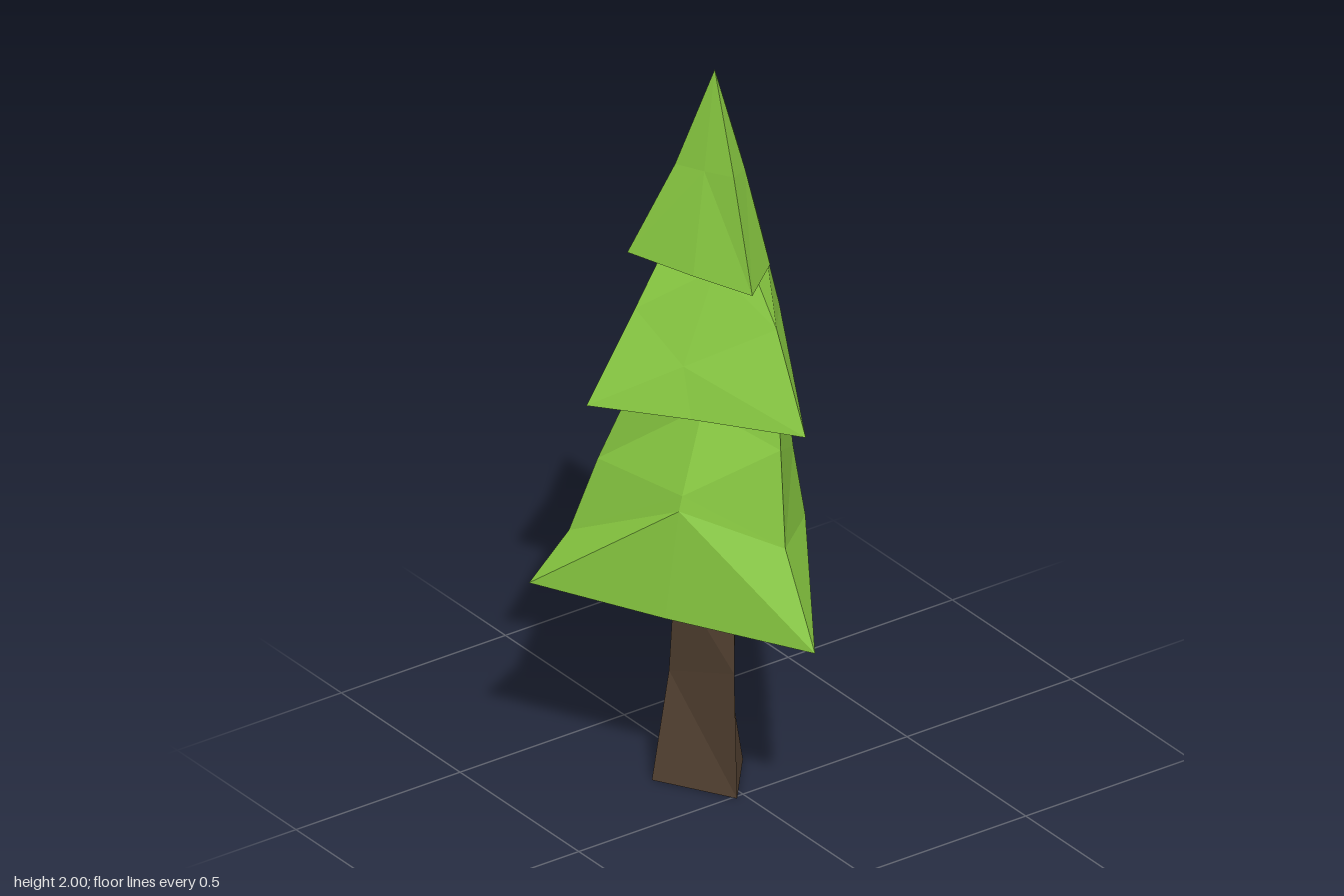
import * as THREE from 'three';

const foliage = new THREE.MeshStandardMaterial({ color: 0x8acc42, flatShading: true });
foliage.name = 'leaf green';
const bark = new THREE.MeshStandardMaterial({ color: 0x544232, flatShading: true });
bark.name = 'bark brown';

// Joins rings of [x, y, z] points (counterclockwise from above) and closes both ends.
function loft(name, material, rings, apex) {
  const pos = [];
  const tri = (a, b, c) => pos.push(...a, ...b, ...c);
  const centre = ring => [0, 1, 2].map(k => ring.reduce((s, p) => s + p[k], 0) / ring.length);
  const n = rings[0].length;
  const last = rings[rings.length - 1];
  const bottom = centre(rings[0]);
  const top = apex || centre(last);
  for (let i = 0; i < n; i++) {
    const j = (i + 1) % n;
    for (let r = 0; r < rings.length - 1; r++) {
      const lo = rings[r], hi = rings[r + 1];
      // Alternate the diagonals so facets meet at the corner ridges
      if (i % 2) {
        tri(lo[i], lo[j], hi[i]);
        tri(lo[j], hi[j], hi[i]);
      } else {
        tri(lo[i], lo[j], hi[j]);
        tri(lo[i], hi[j], hi[i]);
      }
    }
    tri(bottom, rings[0][j], rings[0][i]);
    tri(top, last[i], last[j]);
  }
  const geometry = new THREE.BufferGeometry();
  geometry.setAttribute('position', new THREE.Float32BufferAttribute(pos, 3));
  geometry.computeVertexNormals();
  const mesh = new THREE.Mesh(geometry, material);
  mesh.name = name;
  return mesh;
}

export function createModel() {
  const tree = new THREE.Group();
  tree.name = 'pineTree';

  // Four-sided crooked trunk
  tree.add(loft('trunk', bark, [
    [[0.01, 0, 0.025], [-0.145, 0, -0.105], [-0.215, 0, -0.055], [-0.19, 0, 0.14]],
    [[0.005, 0.35, 0.03], [-0.155, 0.3, -0.06], [-0.205, 0.34, -0.03], [-0.18, 0.3, 0.095]],
    [[-0.005, 0.58, 0.02], [-0.125, 0.58, -0.07], [-0.165, 0.58, -0.04], [-0.15, 0.58, 0.1]],
  ]));

  // Each tier: right corner, back mid, back corner, left mid, front corner, front mid
  tree.add(loft('lowerBranches', foliage, [
    [[0.352, 0.565, 0.035], [0.03, 0.565, -0.18], [-0.31, 0.565, -0.395],
      [-0.34, 0.565, -0.08], [-0.355, 0.565, 0.395], [-0.01, 0.565, 0.23]],
    [[0.22, 0.8, 0.03], [0.035, 0.75, -0.165], [-0.28, 0.71, -0.305],
      [-0.32, 0.8, -0.07], [-0.318, 0.7, 0.3], [0, 0.86, 0.195]],
    [[0.173, 1.05, 0.01], [0.025, 0.95, -0.135], [-0.26, 0.9, -0.235],
      [-0.31, 0.9, -0.03], [-0.28, 0.9, 0.24], [0, 0.9, 0.185]],
    [[0.155, 1.11, 0], [0.02, 1.11, -0.12], [-0.24, 1.11, -0.21],
      [-0.24, 1.11, 0], [-0.21, 1.11, 0.19], [-0.03, 1.11, 0.1]],
  ]));

  tree.add(loft('middleBranches', foliage, [
    [[0.23, 1.1, -0.025], [-0.03, 1.1, -0.15], [-0.29, 1.1, -0.25],
      [-0.278, 1.1, 0.03], [-0.22, 1.1, 0.318], [-0.01, 1.1, 0.15]],
    [[0.108, 1.35, -0.025], [-0.04, 1.32, -0.14], [-0.232, 1.35, -0.165],
      [-0.275, 1.35, 0.025], [-0.185, 1.35, 0.195], [-0.05, 1.23, 0.145]],
    [[0.035, 1.48, -0.01], [-0.04, 1.48, -0.1], [-0.19, 1.48, -0.125],
      [-0.21, 1.48, 0.01], [-0.17, 1.48, 0.13], [-0.04, 1.48, 0.055]],
  ]));

  tree.add(loft('upperBranches', foliage, [
    [[0.102, 1.465, 0.045], [-0.01, 1.46, -0.09], [-0.18, 1.47, -0.182],
      [-0.24, 1.475, 0.045], [-0.238, 1.48, 0.18], [-0.05, 1.475, 0.115]],
    [[0.003, 1.75, 0.03], [-0.06, 1.72, -0.05], [-0.142, 1.74, -0.088],
      [-0.172, 1.73, 0.01], [-0.168, 1.73, 0.085], [-0.08, 1.74, 0.06]],
  ], [-0.105, 2, 0.01]));

  return tree;
}
